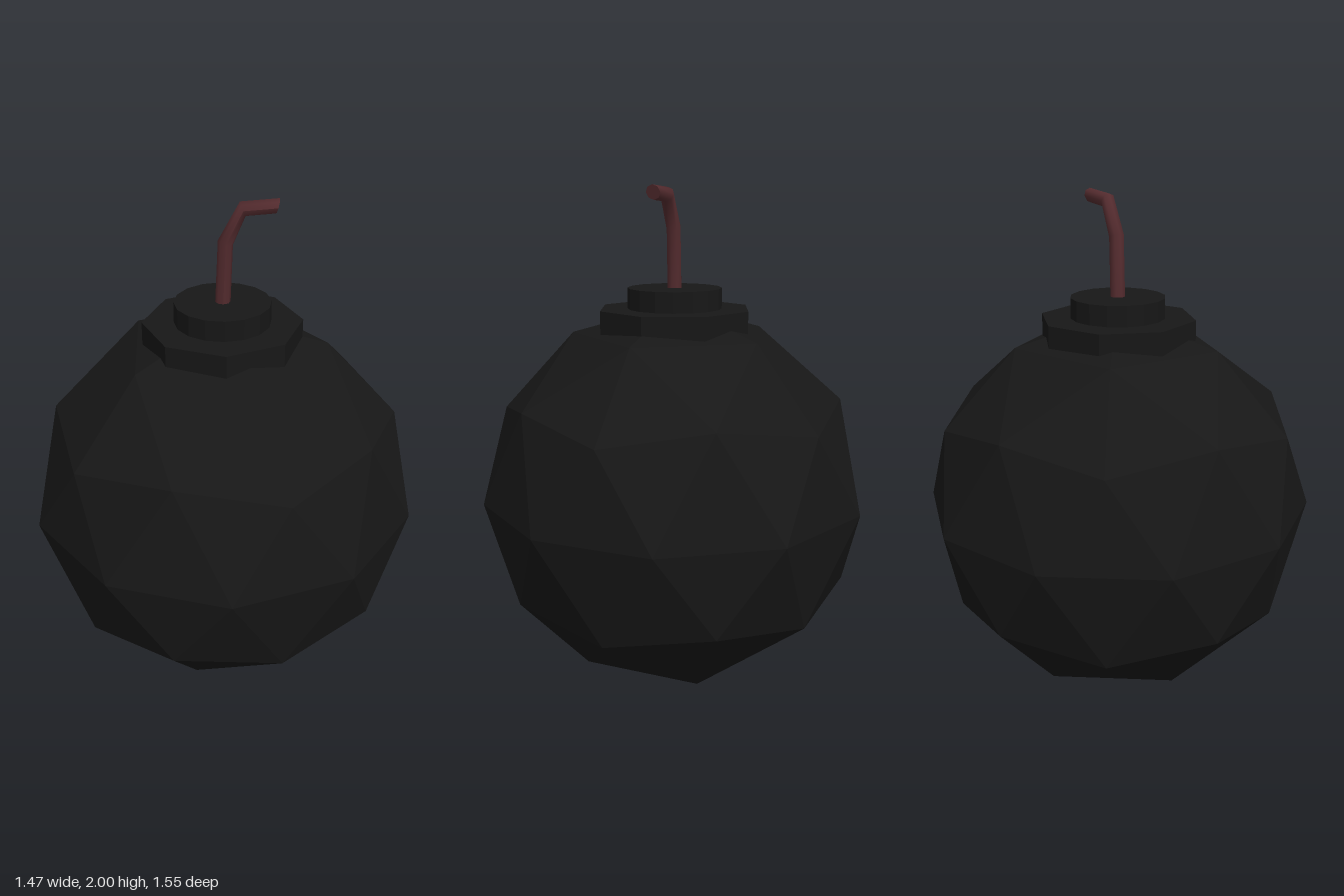
import * as THREE from 'three';

const black = new THREE.MeshStandardMaterial({ color: 0x171717, flatShading: true });
const red = new THREE.MeshStandardMaterial({ color: 0x532b2e });

function part(name, geometry, material, y = 0) {
  const mesh = new THREE.Mesh(geometry, material);
  mesh.name = name;
  mesh.position.y = y;
  return mesh;
}

// Faceted ball with one corner pointing straight up
function bodyGeometry(radius) {
  const golden = (1 + Math.sqrt(5)) / 2;
  const geometry = new THREE.IcosahedronGeometry(radius, 1);
  geometry.rotateZ(-Math.atan(1 / golden));
  geometry.computeVertexNormals();
  return geometry;
}

// Disc standing between two heights
function disc(name, radius, sides, bottom, top) {
  const geometry = new THREE.CylinderGeometry(radius, radius, top - bottom, sides);
  return part(name, geometry, black, (bottom + top) / 2);
}

// Bent cord: each ring of a cylinder is moved to a joint and tilted
function fuseGeometry(radius) {
  const joints = [
    { x: 0, y: 1.58, tilt: 0 },
    { x: 0.01, y: 1.84, tilt: 0.3 },
    { x: 0.072, y: 1.965, tilt: 1.2 },
    { x: 0.197, y: 1.974, tilt: 1.83 },
  ];
  const geometry = new THREE.CylinderGeometry(radius, radius, 1, 8, joints.length - 1);
  const pos = geometry.attributes.position;
  for (let i = 0; i < pos.count; i++) {
    const j = joints[Math.round((pos.getY(i) + 0.5) * (joints.length - 1))];
    const across = pos.getX(i);
    pos.setXY(i, j.x + across * Math.cos(j.tilt), j.y - across * Math.sin(j.tilt));
  }
  geometry.computeVertexNormals();
  return geometry;
}

export function createModel() {
  const model = new THREE.Group();
  model.name = 'bomb';
  const radius = 0.773;
  model.add(
    part('body', bodyGeometry(radius), black, radius),
    disc('collar', 0.307, 8, 1.4, 1.53),
    disc('cap', 0.185, 16, 1.48, 1.61),
    part('fuse', fuseGeometry(0.029), red),
  );
  return model;
}
